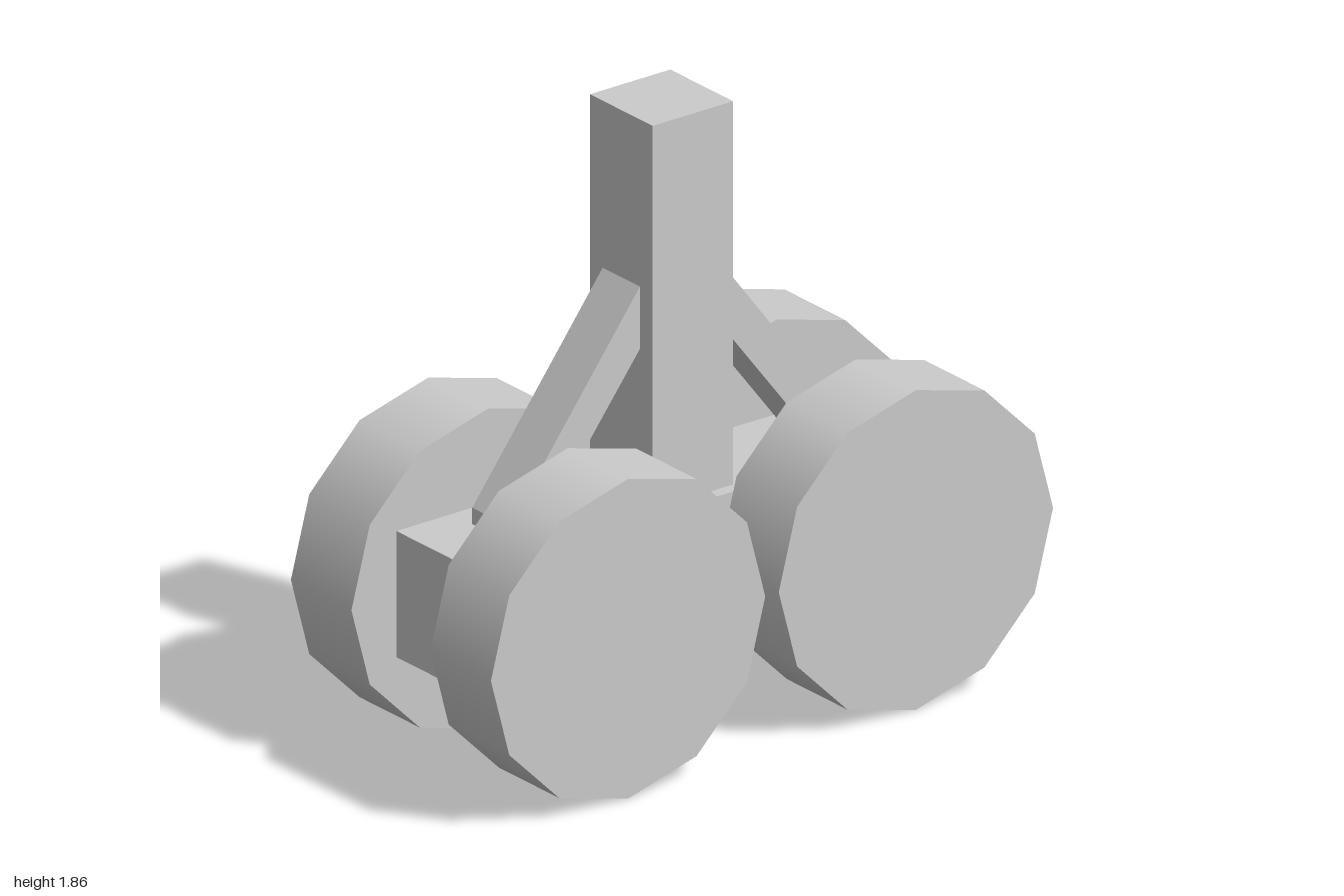
import * as THREE from 'three';

const material = new THREE.MeshStandardMaterial({ color: 0xcccccc });

function add(group, name, geometry, x, y, z) {
  const mesh = new THREE.Mesh(geometry, material);
  mesh.name = name;
  mesh.position.set(x, y, z);
  group.add(mesh);
  return mesh;
}

export function createModel() {
  const group = new THREE.Group();
  group.name = 'landingGear';

  // Bogie beam between the wheels, and the upright post on it
  add(group, 'bogieBeam', new THREE.BoxGeometry(0.36, 0.385, 1.62), 0, 0.4975, 0.03);
  add(group, 'post', new THREE.BoxGeometry(0.286, 1.17, 0.286), -0.003, 1.275, 0.035);

  // Slanted braces from the post down to the beam, cut flush at both ends
  const profile = [[0.143, 1.35], [0.143, 1.16], [0.505, 0.69], [0.607, 0.69], [0.607, 0.74]];
  for (const side of [1, -1]) {
    const shape = new THREE.Shape(profile.map(([d, y]) => new THREE.Vector2(-d * side, y)));
    const geometry = new THREE.ExtrudeGeometry(shape, { depth: 0.17, bevelEnabled: false });
    geometry.translate(0, 0, -0.085);
    geometry.rotateY(Math.PI / 2); // profile distance now runs along z
    add(group, side > 0 ? 'frontBrace' : 'backBrace', geometry, -0.003, 0, 0.035);
  }

  // Four twelve-sided wheels
  const wheel = new THREE.CylinderGeometry(0.488, 0.488, 0.276, 12);
  wheel.rotateZ(Math.PI / 2);
  for (const x of [1, -1]) {
    for (const z of [1, -1]) {
      const name = (z > 0 ? 'front' : 'back') + (x > 0 ? 'Left' : 'Right') + 'Wheel';
      add(group, name, wheel, x * 0.318, 0.49, z * 0.512);
    }
  }
  return group;
}
